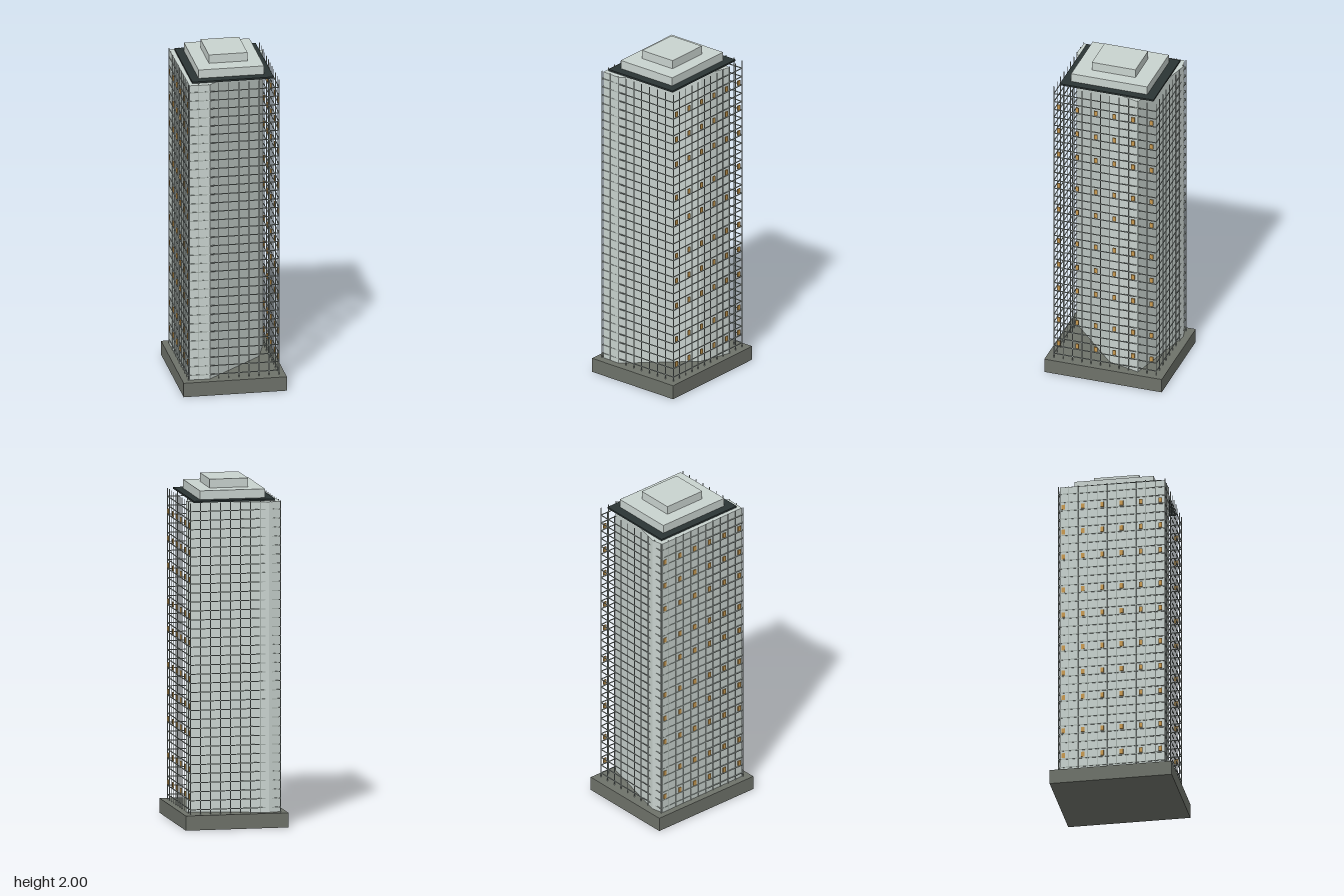
import * as THREE from 'three';
import { mergeGeometries } from 'three/addons/utils/BufferGeometryUtils.js';

const material = (name, color) => {
  const m = new THREE.MeshStandardMaterial({ color });
  m.name = name;
  return m;
};

// Box geometry centred on x and z, given its bottom and top
function slab(w, d, y0, y1, x = 0, z = 0) {
  const g = new THREE.BoxGeometry(w, y1 - y0, d);
  g.translate(x, (y0 + y1) / 2, z);
  return g;
}

export function createModel() {
  const wall = material('pale wall', 0xc9d3cf);
  const stone = material('grey stone', 0x6e726a);
  const roofDark = material('dark roof', 0x2b3434);
  const bar = material('mullion grey', 0xa3ada8);
  const amber = material('lit window', 0xc8994f);

  const model = new THREE.Group();
  model.name = 'tower';
  const turned = new THREE.Group();
  turned.name = 'turnedParts';
  turned.rotation.y = -0.646;
  model.add(turned);

  const add = (parent, name, geometry, mat) => {
    const mesh = new THREE.Mesh(geometry, mat);
    mesh.name = name;
    parent.add(mesh);
  };

  // Irregular tower core
  const footprint = [
    [-0.39, 0.09], [-0.3, 0.165], [0.17, 0.119],
    [0.33, 0], [0.1, -0.29], [0.035, -0.37], [-0.03, -0.4],
  ];
  const shape = new THREE.Shape(footprint.map(([x, z]) => new THREE.Vector2(x, -z)));
  const core = new THREE.ExtrudeGeometry(shape, { depth: 1.845, bevelEnabled: false });
  core.rotateX(-Math.PI / 2);
  core.translate(0, 0.04, 0);
  add(model, 'core', core, wall);

  // Podium and stepped roof
  add(turned, 'podium', slab(0.602, 0.712, 0, 0.085), stone);
  add(turned, 'roofSlab', slab(0.475, 0.568, 1.888, 1.898), roofDark);
  add(turned, 'lowerPenthouse', slab(0.382, 0.461, 1.898, 1.949), wall);
  add(turned, 'upperPenthouse', slab(0.225, 0.264, 1.949, 2), wall);

  // Facade grid: upright mullions and floor bands on all four sides
  const W = 0.528, D = 0.62, T = 0.004;
  const mullions = [], bands = [], windows = [];
  for (const s of [-1, 1]) {
    for (let i = 0; i <= 11; i++) {
      mullions.push(slab(T, T, 0.085, 1.89, s * W / 2, (i / 11 - 0.5) * D));
    }
    for (let i = 1; i < 9; i++) {
      mullions.push(slab(T, T, 0.085, 1.89, (i / 9 - 0.5) * W, s * D / 2));
    }
    for (let k = 0; k < 34; k++) {
      const y = 0.11 + k * 0.0524;
      bands.push(slab(T, D, y, y + 0.005, s * W / 2, 0));
      bands.push(slab(W, T, y, y + 0.005, 0, s * D / 2));
    }
    // Lit windows in every second bay of the long sides
    for (const floor of [1, 4, 8, 11, 14, 18, 21, 25, 28, 31]) {
      const y = 0.11 + (floor + 0.5) * 0.0524 - 0.002;
      for (let i = 0; i < 11; i += 2) {
        windows.push(slab(0.006, 0.02, y - 0.015, y + 0.015, s * W / 2, ((i + 0.5) / 11 - 0.5) * D));
      }
    }
  }
  add(turned, 'mullions', mergeGeometries(mullions), bar);
  add(turned, 'floorBands', mergeGeometries(bands), bar);
  add(turned, 'litWindows', mergeGeometries(windows), amber);

  return model;
}
